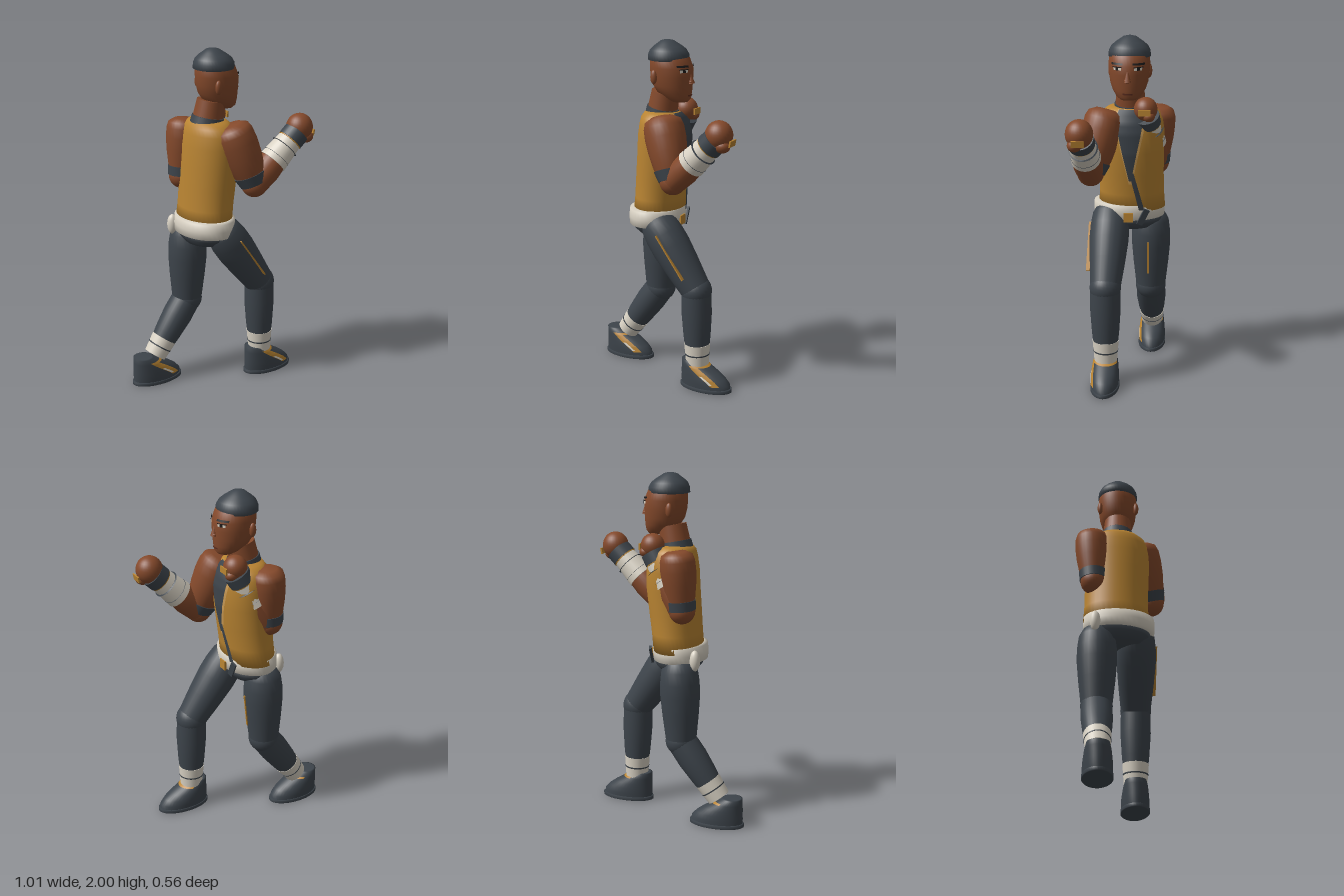
import * as THREE from 'three';
import { mergeVertices } from 'three/addons/utils/BufferGeometryUtils.js';
import { ParametricGeometry } from 'three/addons/geometries/ParametricGeometry.js';

const mat = (name, color) => Object.assign(new THREE.MeshStandardMaterial({ color }), { name });
const V = (a) => new THREE.Vector3(...a);

export function createModel() {
  const model = new THREE.Group();
  model.name = 'fighter';
  const skin = mat('skin', 0x84492b), gold = mat('gold', 0xb98432), dark = mat('charcoal', 0x3d444b);
  const cloth = mat('offWhite', 0xd8d1c3), lip = mat('lips', 0x5e2e20);
  const trim = mat('tanTrim', 0xc99a55), ink = mat('ink', 0x1c1a1a);

  const add = (name, geo, material, pos = [0, 0, 0]) => {
    const m = new THREE.Mesh(geo, material);
    m.name = name;
    m.position.set(...pos);
    model.add(m);
    return m;
  };
  const ball = (name, material, pos, s) => {
    const m = add(name, new THREE.SphereGeometry(1, 28, 18), material, pos);
    m.scale.set(...s);
    return m;
  };
  const box = (name, material, pos, size, rot = [0, 0, 0]) => {
    const m = add(name, new THREE.BoxGeometry(...size), material, pos);
    m.rotation.set(...rot);
    return m;
  };

  // Turned limb between two joints; profile is [fraction along, radius]
  const limb = (name, material, a, b, profile) => {
    const A = V(a), d = V(b).sub(A), len = d.length();
    const geo = new THREE.LatheGeometry(profile.map(([t, r]) => new THREE.Vector2(r, t * len)), 28);
    const m = add(name, geo, material, a);
    m.quaternion.setFromUnitVectors(new THREE.Vector3(0, 1, 0), d.normalize());
    return m;
  };
  // Closed band round a limb
  const cuff = (name, material, a, b, t0, t1, r0, r1) =>
    limb(name, material, a, b, [[t0, 0], [t0, r0], [t0 + 0.001, r0], [t1 - 0.001, r1], [t1, r1], [t1, 0]]);

  // Elliptical body from rings [y, centre x, centre z, depth radius, width radius]
  const ringPoint = (r, yaw, th, off, out) => {
    const c = Math.cos(yaw), s = Math.sin(yaw);
    const f = (r[3] + off) * Math.cos(th), w = (r[4] + off) * Math.sin(th);
    out.set(r[1] + f * c - w * s, r[0], r[2] - f * s - w * c);
  };
  const loft = (name, material, rings, yaw = 0) => {
    const n = rings.length - 1;
    let geo = new ParametricGeometry((u, v, p) =>
      ringPoint(rings[Math.round(v * n)], yaw, u * Math.PI * 2, 0, p), 40, n);
    geo.deleteAttribute('uv');
    geo.deleteAttribute('normal');
    geo = mergeVertices(geo, 1e-5);
    geo.computeVertexNormals();
    return add(name, geo, material);
  };
  const ringAt = (rings, y) => {
    let i = 0;
    while (i < rings.length - 2 && rings[i + 1][0] < y) i++;
    const a = rings[i], b = rings[i + 1], k = (y - a[0]) / (b[0] - a[0] || 1);
    return a.map((q, j) => q + (b[j] - q) * k);
  };
  // Thin painted patch lying on a lofted body, between angles lo(t) and hi(t)
  const patch = (name, material, rings, yaw, y0, y1, lo, hi, off = 0.004) =>
    add(name, new ParametricGeometry((u, v, p) => {
      const a = lo(v), b = hi(v);
      ringPoint(ringAt(rings, y0 + (y1 - y0) * v), yaw, a + (b - a) * u, off, p);
    }, 12, 14), material);

  // Torso and vest opening
  const yaw = 0.08, mid = -0.05;
  const torso = [
    [1.0, -0.072, -0.04, 0, 0], [1.0, -0.072, -0.04, 0.143, 0.193], [1.1, -0.062, -0.04, 0.143, 0.186],
    [1.22, -0.05, -0.038, 0.147, 0.186], [1.35, -0.037, -0.036, 0.15, 0.19], [1.46, -0.034, -0.036, 0.147, 0.193],
    [1.53, -0.036, -0.036, 0.135, 0.185], [1.57, -0.04, -0.036, 0.122, 0.165], [1.595, -0.045, -0.036, 0.1, 0.13],
    [1.6, -0.045, -0.036, 0.07, 0.09], [1.6, -0.045, -0.036, 0, 0]];
  loft('vest', gold, torso, yaw);
  patch('vestTrim', trim, torso, yaw, 1.17, 1.595, (t) => mid - 0.04 - 0.47 * t, (t) => mid + 0.06 + 0.5 * t, 0.003);
  patch('innerShirt', dark, torso, yaw, 1.19, 1.595, (t) => mid - 0.03 - 0.44 * t, (t) => mid + 0.03 + 0.44 * t, 0.006);
  patch('vestClosure', dark, torso, yaw, 1.01, 1.24, (t) => 0.2 - 0.27 * t, (t) => 0.36 - 0.3 * t, 0.006);

  // Pelvis and belt
  loft('pelvis', dark, [
    [0.87, -0.075, -0.035, 0, 0], [0.88, -0.075, -0.035, 0.1, 0.13], [0.92, -0.075, -0.035, 0.132, 0.18],
    [0.98, -0.075, -0.03, 0.142, 0.195], [1.0, -0.075, -0.03, 0, 0]], 0.08);
  loft('belt', cloth, [
    [0.942, -0.078, -0.025, 0.13, 0.18], [0.947, -0.078, -0.025, 0.154, 0.204], [0.99, -0.077, -0.025, 0.157, 0.207],
    [1.035, -0.075, -0.025, 0.154, 0.204], [1.042, -0.075, -0.025, 0.13, 0.18], [1.042, -0.075, -0.025, 0, 0]], 0.1);
  box('buckle', gold, [0.081, 0.968, -0.03], [0.014, 0.055, 0.055]);
  box('beltTail', dark, [0.07, 0.97, -0.115], [0.012, 0.1, 0.035], [-0.45, 0.3, 0]);
  ball('beltKnot', cloth, [-0.21, 0.965, -0.165], [0.03, 0.06, 0.03]);

  // Neck and collar
  const neckA = [-0.055, 1.56, -0.035], neckB = [-0.025, 1.72, -0.03];
  cuff('neck', skin, neckA, neckB, 0, 0.93, 0.09, 0.079);
  cuff('collar', dark, neckA, neckB, 0.1, 0.36, 0.097, 0.092);

  // Head, facing +x
  const hz = -0.03;
  const head = [
    [1.655, 0.06, hz, 0, 0], [1.658, 0.065, hz, 0.045, 0.045], [1.675, 0.055, hz, 0.07, 0.068],
    [1.71, 0.03, hz, 0.1, 0.092], [1.75, 0.018, hz, 0.114, 0.106], [1.8, 0.013, hz, 0.122, 0.113],
    [1.85, 0.01, hz, 0.123, 0.117], [1.9, 0.0, hz, 0.112, 0.112], [1.94, -0.005, hz, 0.085, 0.085], [1.95, -0.005, hz, 0, 0]];
  loft('head', skin, head);
  loft('cap', dark, [
    [1.885, -0.008, hz, 0.1, 0.1], [1.89, -0.008, hz, 0.117, 0.119], [1.92, -0.008, hz, 0.115, 0.116],
    [1.945, -0.01, hz, 0.103, 0.103], [1.965, -0.012, hz, 0.08, 0.08], [1.98, -0.014, hz, 0.058, 0.058],
    [1.994, -0.016, hz, 0.038, 0.038], [2.0, -0.016, hz, 0.015, 0.015], [2.0, -0.016, hz, 0, 0]]);
  for (const s of [-1, 1]) {
    const strip = (name, m, y0, y1, a, b, off) =>
      patch(name, m, head, 0, y0, y1, () => Math.min(s * a, s * b), () => Math.max(s * a, s * b), off);
    strip('eyeWhite', cloth, 1.828, 1.843, 0.3, 0.72, 0.003);
    strip('iris', ink, 1.828, 1.843, 0.44, 0.58, 0.005);
    strip('lashLine', ink, 1.843, 1.848, 0.27, 0.78, 0.005);
    strip('eyebrow', ink, 1.857, 1.868, 0.22, 0.85, 0.006);
    ball('ear', skin, [-0.045, 1.8, hz + s * 0.108], [0.02, 0.04, 0.016]);
  }
  patch('mouth', lip, head, 0, 1.692, 1.701, () => -0.32, () => 0.32);
  const nose = add('nose', new THREE.ConeGeometry(0.02, 0.085, 12), skin, [0.13, 1.805, hz]);
  nose.rotation.z = 0.12;
  ball('noseTip', skin, [0.135, 1.772, hz], [0.015, 0.012, 0.02]);

  // Arms
  const arm = (side, sh, el, fist, r) => {
    limb(side + 'UpperArm', skin, sh, el,
      [[-0.34, 0], [-0.33, r * 0.55], [-0.25, r * 0.88], [-0.12, r * 0.98], [0.1, r], [0.4, r * 0.94], [0.7, r * 0.82], [1, 0.07]]);
    cuff(side + 'ElbowBand', dark, sh, el, 0.76, 0.98, r * 0.83, 0.08);
    ball(side + 'Elbow', skin, el, [0.076, 0.076, 0.076]);
    limb(side + 'Forearm', skin, el, fist, [[0, 0.075], [0.25, 0.083], [0.5, 0.075], [0.9, 0.058]]);
    cuff(side + 'ForearmWrap', cloth, el, fist, 0.41, 0.8, 0.084, 0.07);
    for (const t of [0.5, 0.68]) cuff(side + 'WrapLine', dark, el, fist, t, t + 0.01, 0.0825, 0.0785 - (t - 0.5) * 0.02);
    cuff(side + 'WrapEdge', gold, el, fist, 0.79, 0.81, 0.073, 0.073);
    cuff(side + 'WristBand', dark, el, fist, 0.805, 0.96, 0.075, 0.075);
  };
  arm('right', [0.045, 1.5, 0.115], [0.13, 1.245, 0.178], [0.415, 1.525, 0.203], 0.116);
  ball('rightFist', skin, [0.42, 1.54, 0.203], [0.077, 0.08, 0.076]);
  ball('rightThumb', skin, [0.45, 1.485, 0.225], [0.045, 0.036, 0.04]);
  box('rightKnucklePlate', gold, [0.499, 1.503, 0.203], [0.009, 0.035, 0.07], [0, 0, -0.2]);
  arm('left', [-0.115, 1.5, -0.185], [-0.135, 1.25, -0.175], [0.055, 1.575, -0.125], 0.1);
  ball('leftFist', skin, [0.055, 1.6, -0.125], [0.068, 0.068, 0.066]);
  ball('leftThumb', skin, [0.09, 1.565, -0.145], [0.036, 0.03, 0.034]);
  box('leftKnucklePlate', gold, [0.125, 1.592, -0.122], [0.009, 0.035, 0.07]);

  // Legs and shoes
  const leg = (side, hip, knee, ankle, heelX) => {
    limb(side + 'Thigh', dark, hip, knee,
      [[-0.27, 0], [-0.26, 0.04], [-0.2, 0.08], [-0.08, 0.104], [0.1, 0.113], [0.3, 0.114], [0.6, 0.104], [1, 0.087]]);
    ball(side + 'Knee', dark, knee, [0.09, 0.09, 0.09]);
    limb(side + 'Shin', dark, knee, ankle, [[0, 0.086], [0.3, 0.088], [0.6, 0.079], [1, 0.06]]);
    cuff(side + 'AnkleWrap', cloth, knee, ankle, 0.71, 1, 0.076, 0.066);
    cuff(side + 'AnkleLine', dark, knee, ankle, 0.84, 0.858, 0.0735, 0.0725);
    const cx = heelX + 0.16, z = ankle[2];
    const shoe = [
      [0.018, cx, z, 0.153, 0.079], [0.045, cx - 0.003, z, 0.152, 0.081], [0.075, cx - 0.016, z, 0.138, 0.08],
      [0.105, cx - 0.037, z, 0.117, 0.076], [0.14, cx - 0.066, z, 0.086, 0.07], [0.17, cx - 0.092, z, 0.06, 0.06],
      [0.173, cx - 0.092, z, 0.05, 0.05], [0.173, cx - 0.092, z, 0, 0]];
    loft(side + 'Shoe', dark, shoe);
    loft(side + 'Sole', dark, [
      [0, cx, z, 0, 0], [0, cx, z, 0.157, 0.08], [0.003, cx, z, 0.162, 0.084],
      [0.02, cx, z, 0.162, 0.084], [0.023, cx, z, 0.155, 0.08], [0.023, cx, z, 0, 0]]);
    patch(side + 'ShoeStripe', gold, shoe, 0, 0.045, 0.15, (t) => -1.1 - 0.55 * t, (t) => -0.72 - 0.35 * t);
    patch(side + 'ShoeAccent', cloth, shoe, 0, 0.055, 0.1, (t) => -1.14 - 0.22 * t, (t) => -1.0 - 0.22 * t, 0.006);
    patch(side + 'ShoeTongueEdge', gold, shoe, 0, 0.14, 0.15, () => -1.3, () => 1.2);
  };
  leg('right', [0.0, 0.93, 0.08], [0.235, 0.595, 0.088], [0.245, 0.14, 0.086], 0.142);
  leg('left', [-0.115, 0.87, -0.15], [-0.125, 0.485, -0.15], [-0.355, 0.165, -0.147], -0.503);

  // Thigh piping
  const piping = (name, a, b, width) => {
    const d = V(b).sub(V(a));
    const p = V(a).addScaledVector(d, 0.5).toArray();
    box(name, gold, p, [0.007, d.length(), width], [0, 0, Math.atan2(-d.x, d.y)]);
  };
  piping('rightPiping', [0.2, 0.68, 0.192], [0.03, 0.92, 0.192], 0.022);
  piping('leftPiping', [-0.018, 0.59, -0.14], [0.002, 0.79, -0.14], 0.01);

  return model;
}
